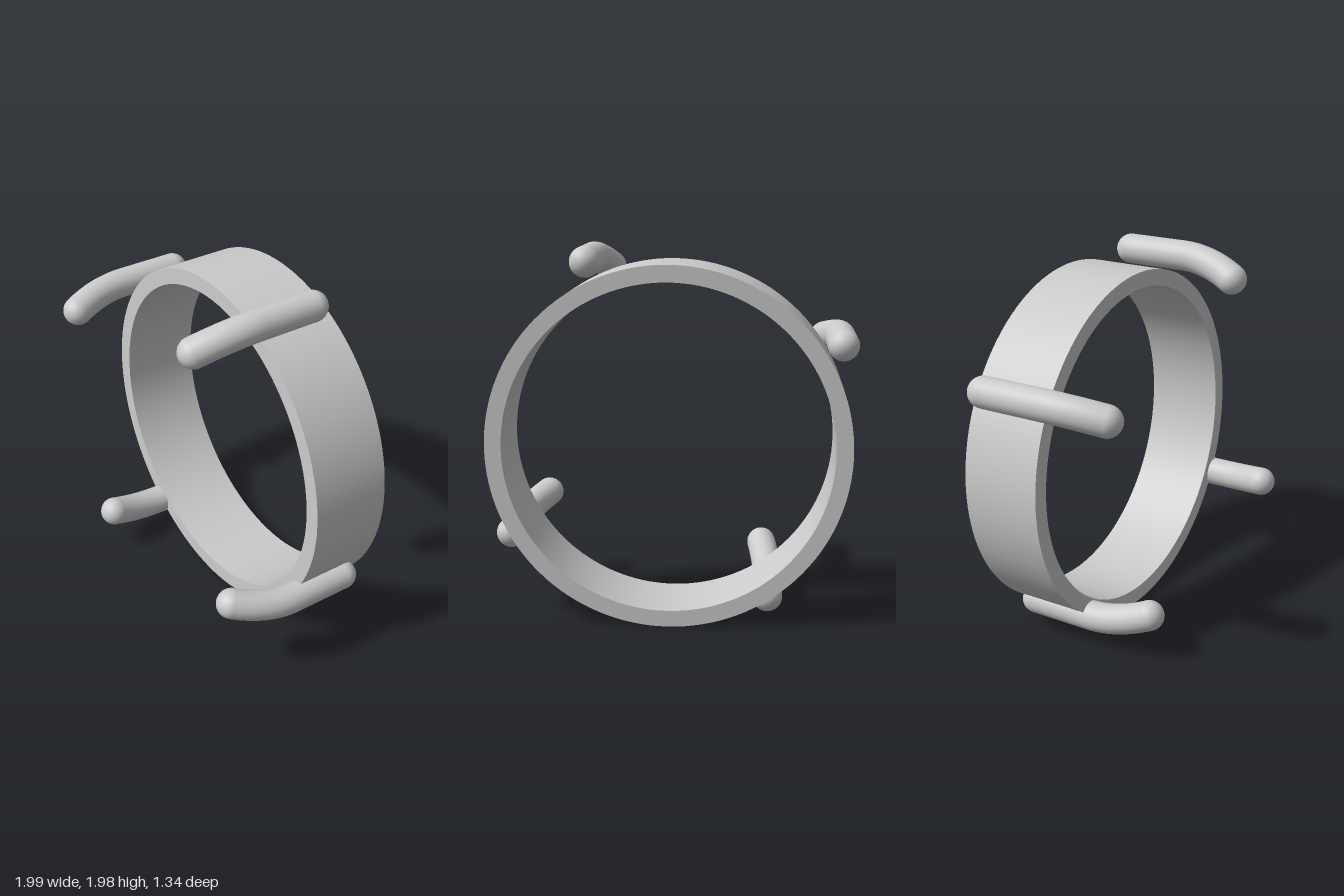
import * as THREE from 'three';
import { mergeGeometries } from 'three/addons/utils/BufferGeometryUtils.js';

const material = new THREE.MeshStandardMaterial({ color: 0xcccccc });
const AXIS = new THREE.Vector3(-0.29, 0.02, 0.957).normalize(); // points to the front of the band
const ROD = 0.08;

// Flat-sided band: each side is lathed on its own so its edges stay sharp
function createBand() {
  const outer = 0.944, inner = 0.857, half = 0.213;
  const corners = [[outer, -half], [outer, half], [inner, half], [inner, -half]]
    .map(([r, y]) => new THREE.Vector2(r, y));
  const sides = corners.map((p, i) => new THREE.LatheGeometry([p, corners[(i + 1) % 4]], 128));
  const band = new THREE.Mesh(mergeGeometries(sides), material);
  band.name = 'band';
  band.quaternion.setFromUnitVectors(new THREE.Vector3(0, 1, 0), AXIS);
  band.position.set(0.033, 0.951, -0.187);
  return band;
}

// Round-ended prong: straight along the axis, then curving inwards to its tip
function createProng(name, back, tip) {
  const start = new THREE.Vector3(...back), end = new THREE.Vector3(...tip);
  const length = end.clone().sub(start).dot(AXIS);
  const along = (d) => start.clone().addScaledVector(AXIS, d);
  const bendStart = along(length * 0.5);

  const path = new THREE.CurvePath();
  path.add(new THREE.LineCurve3(start, bendStart));
  path.add(new THREE.QuadraticBezierCurve3(bendStart, along(length * 0.74), end));

  const prong = new THREE.Group();
  prong.name = name;
  const rod = new THREE.Mesh(new THREE.TubeGeometry(path, 40, ROD, 24, false), material);
  rod.name = name + 'Rod';
  prong.add(rod);
  for (const [label, p] of [['BackEnd', start], ['Tip', end]]) {
    const cap = new THREE.Mesh(new THREE.SphereGeometry(ROD, 24, 16), material);
    cap.name = name + label;
    cap.position.copy(p);
    prong.add(cap);
  }
  return prong;
}

export function createModel() {
  const model = new THREE.Group();
  model.name = 'prongedRing';
  model.add(
    createBand(),
    createProng('topProng', [0.47, 1.895, -0.16], [0.225, 1.835, 0.445]),
    createProng('leftProng', [0.855, 0.46, 0.0], [0.58, 0.525, 0.59]),
    createProng('rightProng', [-0.78, 1.485, -0.555], [-0.905, 1.455, 0.095]),
    createProng('bottomProng', [-0.43, 0.16, -0.45], [-0.595, 0.255, 0.22])
  );
  return model;
}
